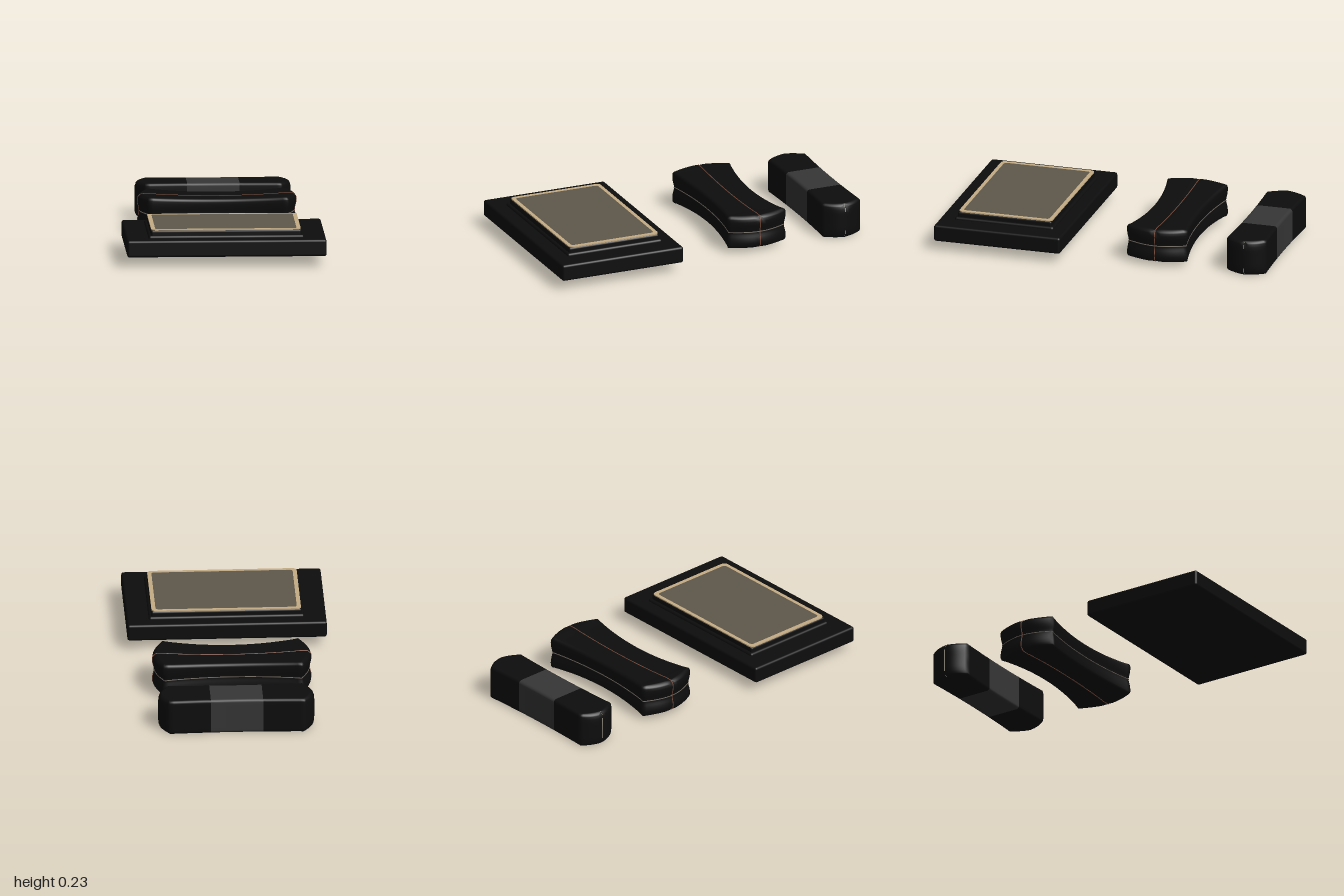
import * as THREE from 'three';
import { RoundedBoxGeometry } from 'three/addons/geometries/RoundedBoxGeometry.js';

const mat = (name, color) => {
  const m = new THREE.MeshStandardMaterial({ color });
  m.name = name;
  return m;
};

// Half depth (or height) swelling from the waist to the shoulder
const swell = (x, waist, full, shoulder) =>
  waist + (full - waist) * Math.min(1, Math.abs(x) / shoulder) ** 2;

// Stations along x, dense in the rounded ends
function stations(shoulder, end) {
  const half = [];
  for (let i = 1; i <= 16; i++) half.push((shoulder * i) / 16);
  for (let i = 1; i <= 10; i++) half.push(shoulder + (end - shoulder) * (1 - (1 - i / 10) ** 2));
  return [...half.map(x => -x).reverse(), 0, ...half];
}

// Rounded rectangle cross-section in (z, y), running from +z towards +y
function section(d, h, radius) {
  const r = Math.min(radius, d * 0.9);
  const flat = [0, 0.06, 0.13, 0.22, 0.35, 0.55, 0.8];
  const quarter = flat.map(f => [d, f * (h - r)]);
  for (let i = 0; i <= 5; i++) {
    const a = (i / 5) * Math.PI / 2;
    quarter.push([d - r + r * Math.cos(a), h - r + r * Math.sin(a)]);
  }
  flat.slice().reverse().forEach(f => quarter.push([f * (d - r), h]));
  const upper = [...quarter, ...quarter.slice(0, -1).reverse().map(([z, y]) => [-z, y])];
  return [...upper, ...upper.slice(1, -1).reverse().map(([z, y]) => [z, -y])];
}

// Skin cross-sections placed along x
function loft(xs, ringAt, place) {
  const pos = [], idx = [];
  let n = 0;
  xs.forEach(x => {
    const ring = ringAt(x);
    n = ring.length;
    ring.forEach(([z, y]) => pos.push(...place(x, y, z)));
  });
  for (let i = 0; i < xs.length - 1; i++) {
    for (let j = 0; j < n; j++) {
      const a = i * n + j, b = i * n + ((j + 1) % n);
      idx.push(a, a + n, b, b, a + n, b + n);
    }
  }
  const g = new THREE.BufferGeometry();
  g.setAttribute('position', new THREE.Float32BufferAttribute(pos, 3));
  g.setIndex(idx);
  g.computeVertexNormals();
  return g;
}

function roundedRect(Type, w, d, r) {
  const s = new Type(), x = w / 2, y = d / 2;
  s.moveTo(-x + r, -y);
  s.lineTo(x - r, -y).quadraticCurveTo(x, -y, x, -y + r);
  s.lineTo(x, y - r).quadraticCurveTo(x, y, x - r, y);
  s.lineTo(-x + r, y).quadraticCurveTo(-x, y, -x, y - r);
  s.lineTo(-x, -y + r).quadraticCurveTo(-x, -y, -x + r, -y);
  return s;
}

export function createModel() {
  const model = new THREE.Group();
  const black = mat('black fabric', 0x0d0d0d);
  const grey = mat('grey band', 0x363636);
  const taupe = mat('taupe panel', 0x60584b);
  const tan = mat('tan piping', 0xc6ad86);
  const rust = mat('rust stitching', 0x80503f);
  const stone = mat('stone stitching', 0x6e675e);

  const add = (parent, name, geometry, material, x = 0, y = 0, z = 0) => {
    const m = new THREE.Mesh(geometry, material);
    m.name = name;
    m.position.set(x, y, z);
    parent.add(m);
    return m;
  };

  // Seat cushion: slab, skirt, raised pad, piping and top panel
  const cushion = new THREE.Group();
  cushion.name = 'cushion';
  model.add(cushion);
  add(cushion, 'cushionBase', new RoundedBoxGeometry(1.18, 0.1, 0.78, 3, 0.014), black, 0, 0.11, 0.61);
  add(cushion, 'padSkirt', new RoundedBoxGeometry(0.92, 0.04, 0.61, 3, 0.014), black, 0, 0.155, 0.605);
  add(cushion, 'raisedPad', new RoundedBoxGeometry(0.89, 0.07, 0.58, 3, 0.012), black, 0, 0.17, 0.605);
  const sheet = (shape, depth) =>
    new THREE.ExtrudeGeometry(shape, { depth, bevelEnabled: false, curveSegments: 6 }).rotateX(-Math.PI / 2);
  const frame = roundedRect(THREE.Shape, 0.885, 0.575, 0.03);
  frame.holes.push(roundedRect(THREE.Path, 0.836, 0.53, 0.02));
  add(cushion, 'piping', sheet(frame, 0.007), tan, 0, 0.203, 0.603);
  add(cushion, 'topPanel', sheet(roundedRect(THREE.Shape, 0.838, 0.532, 0.02), 0.006), taupe, 0, 0.203, 0.603);

  // Middle pillow: waisted, with pinched seams
  const pillow = new THREE.Group();
  pillow.name = 'pillow';
  pillow.position.set(0, 0.127, -0.328);
  model.add(pillow);
  const S = 0.41, E = 0.472;
  const taper = (x, s, e) => Math.sqrt(Math.max(0.00002, 1 - Math.max(0, (Math.abs(x) - s) / (e - s))));
  const depth = x => swell(x, 0.146, 0.187, S) * taper(x, S, E);
  const height = x => swell(x, 0.086, 0.102, S);
  const dip = (v, w) => Math.exp(-((v / w) ** 2));
  const pinch = (x, y, z) => {
    const e = THREE.MathUtils.smoothstep(Math.abs(x), 0.36, E);
    const t = Math.abs(y) / height(x);
    return [
      x - Math.sign(x) * e * (0.013 * dip(y, 0.04) + 0.025 * t ** 8),
      y * (1 - 0.04 * dip(z, 0.02) * t),
      z * (1 - 0.05 * dip(y, 0.035)),
    ];
  };
  add(pillow, 'pillowBody', loft(stations(S, E), x => section(depth(x), height(x), 0.02), pinch), black);

  // Stitch lines run around the pillow along both seams
  const stitch = (name, points, material) => {
    const curve = new THREE.CatmullRomCurve3(points.map(p => new THREE.Vector3(...pinch(...p))), true);
    add(pillow, name, new THREE.TubeGeometry(curve, 300, 0.003, 5, true), material);
  };
  const xs = stations(S, E);
  const back = xs.slice().reverse();
  const ends = [0.8, 0.5, 0.25, 0, -0.25, -0.5, -0.8];
  stitch('lengthwiseStitch', [
    ...xs.map(x => [x, height(x), 0]), ...ends.map(t => [E, t * height(E), 0]),
    ...back.map(x => [x, -height(x), 0]), ...ends.map(t => [-E, -t * height(E), 0]),
  ], rust);
  stitch('sideStitch', [
    ...xs.map(x => [x, 0, depth(x)]), ...back.slice(1, -1).map(x => [x, 0, -depth(x)]),
  ], stone);

  // Rear bolster: smooth rounded ends with a grey centre band
  const bolster = new THREE.Group();
  bolster.name = 'bolster';
  bolster.position.set(0, 0.107, -0.8775);
  model.add(bolster);
  const s2 = 0.4, e2 = 0.462, B = 0.155;
  const ring = x => section(swell(x, 0.112, 0.1225, s2) * taper(x, s2, e2), 0.107, 0.018);
  const soften = (x, y, z) => {
    const e = THREE.MathUtils.smoothstep(Math.abs(x), 0.36, e2);
    return [x - Math.sign(x) * e * 0.02 * (Math.abs(y) / 0.107) ** 8, y, z];
  };
  const all = stations(s2, e2);
  const piece = (name, list, material) => add(bolster, name, loft(list, ring, soften), material);
  piece('bolsterRightEnd', [...all.filter(x => x < -B), -B], black);
  piece('bolsterBand', [-B, ...all.filter(x => Math.abs(x) < B), B], grey);
  piece('bolsterLeftEnd', [B, ...all.filter(x => x > B)], black);

  return model;
}
